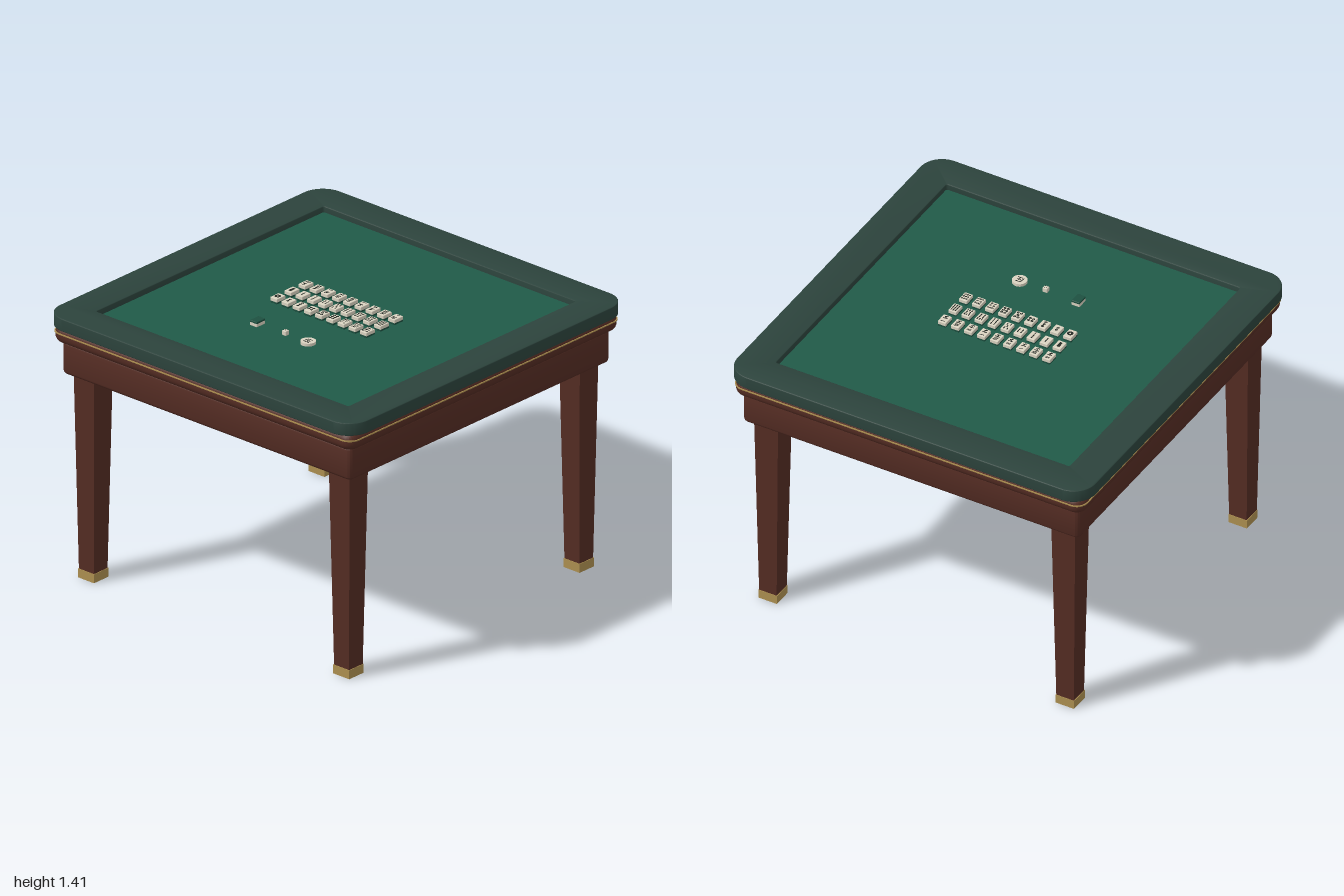
import * as THREE from 'three';
import { mergeGeometries, toCreasedNormals } from 'three/addons/utils/BufferGeometryUtils.js';
import { RoundedBoxGeometry } from 'three/addons/geometries/RoundedBoxGeometry.js';

const material = (name, color) => {
  const m = new THREE.MeshStandardMaterial({ color });
  m.name = name;
  return m;
};

// Square outline with rounded corners
function roundedSquare(half, r, Kind = THREE.Shape) {
  const s = new Kind(), c = half - r;
  s.absarc(c, c, r, 0, Math.PI / 2);
  s.absarc(-c, c, r, Math.PI / 2, Math.PI);
  s.absarc(-c, -c, r, Math.PI, Math.PI * 1.5);
  s.absarc(c, -c, r, Math.PI * 1.5, Math.PI * 2);
  s.closePath();
  return s;
}

// Horizontal slab from y0 to y1 with softened edges and an optional square opening
function slab(half, r, y0, y1, bevel, opening) {
  const shape = roundedSquare(half, r);
  if (opening) shape.holes.push(roundedSquare(opening, 0.01, THREE.Path));
  const g = new THREE.ExtrudeGeometry(shape, {
    depth: y1 - y0 - 2 * bevel, curveSegments: 10, bevelEnabled: bevel > 0,
    bevelThickness: bevel, bevelSize: bevel, bevelOffset: -bevel, bevelSegments: 6,
  });
  g.rotateX(-Math.PI / 2).translate(0, y0 + bevel, 0);
  return toCreasedNormals(g, 0.6);
}

// Square tapered post
function post(bottomHalf, topHalf, y0, y1) {
  const k = Math.SQRT2;
  const g = new THREE.CylinderGeometry(topHalf * k, bottomHalf * k, y1 - y0, 4);
  return toCreasedNormals(g.rotateY(Math.PI / 4).translate(0, (y0 + y1) / 2, 0), 0.6);
}

export function createModel() {
  const model = new THREE.Group();
  model.name = 'gameTable';
  const wood = material('dark red wood', 0x542c23);
  const brass = material('brass', 0xac8f50);
  const rimGreen = material('rim green', 0x2c433c);
  const felt = material('felt green', 0x205a48);
  const ivory = material('ivory', 0xd9d2c0);
  const backGreen = material('tile back green', 0x1d5040);
  const ink = material('ink', 0x232823);

  const add = (parent, name, geometry, mat, x = 0, y = 0, z = 0) => {
    const mesh = new THREE.Mesh(geometry, mat);
    mesh.name = name;
    mesh.position.set(x, y, z);
    parent.add(mesh);
    return mesh;
  };

  // Table body
  const feltY = 1.38;
  add(model, 'apron', slab(0.94, 0.03, 1.085, 1.262, 0.022), wood);
  add(model, 'moulding', slab(0.977, 0.06, 1.255, 1.348, 0.042), wood);
  add(model, 'brassTrim', slab(0.98, 0.06, 1.311, 1.317, 0), brass);
  add(model, 'rim', slab(1, 0.12, 1.345, 1.412, 0.005, 0.82), rimGreen);
  add(model, 'playingSurface', slab(0.822, 0.01, 1.335, feltY, 0), felt);

  // Legs with brass feet
  const legGeometry = post(0.049, 0.067, 0.045, 1.1);
  const footGeometry = post(0.052, 0.052, 0, 0.047);
  for (const x of [-0.83, 0.83]) for (const z of [-0.83, 0.83]) {
    const leg = new THREE.Group();
    leg.name = 'leg';
    leg.position.set(x, 0, z);
    add(leg, 'legPost', legGeometry, wood);
    add(leg, 'brassFoot', footGeometry, brass);
    model.add(leg);
  }

  // Flat ink marks, gathered into one mesh
  const marks = [];
  const bar = (x, y, z, w, d, turn = 0) =>
    marks.push(new THREE.BoxGeometry(w, 0.001, d).rotateY(turn).translate(x, y, z));
  const ring = (x, y, z, inner, outer) =>
    marks.push(new THREE.RingGeometry(inner, outer, 12).rotateX(-Math.PI / 2).translate(x, y + 0.0006, z));

  // Positions of n symbols on a tile face, in rows of up to three
  const layout = (n) => {
    const rows = n < 4 ? Array(n).fill(1) : n === 4 ? [2, 2] : n === 5 ? [2, 1, 2]
      : n === 6 ? [2, 2, 2] : n === 7 ? [3, 2, 2] : n === 8 ? [3, 2, 3] : [3, 3, 3];
    return rows.flatMap((count, r) => Array.from({ length: count }, (_, i) => [
      (i - (count - 1) / 2) * (count === 3 ? 0.012 : 0.018),
      (r - (rows.length - 1) / 2) * 0.017,
    ]));
  };

  // Tiles: ivory faces on green backs
  const backGeometry = new RoundedBoxGeometry(0.045, 0.012, 0.062, 2, 0.003);
  const bodyGeometry = new RoundedBoxGeometry(0.045, 0.02, 0.062, 2, 0.003);
  const tile = (name, x, z, faceUp) => {
    const g = new THREE.Group();
    g.name = name;
    g.position.set(x, feltY, z);
    add(g, 'tileBack', backGeometry, backGreen, 0, faceUp ? 0.006 : 0.022, 0);
    add(g, 'tileBody', bodyGeometry, ivory, 0, faceUp ? 0.018 : 0.01, 0);
    model.add(g);
  };
  const top = feltY + 0.0283;
  [-0.106, -0.005, 0.097].forEach((z, suit) => {
    for (let n = 1; n <= 9; n++) {
      const x = (n - 5) * 0.0728;
      tile('tile', x, z, true);
      if (suit === 0) {
        // Abstract brush strokes
        for (let i = 0; i < 1 + (n % 3); i++) bar(x, top, z - 0.02 + i * 0.007, 0.022, 0.003, 0.15);
        bar(x, top, z + 0.005, 0.026, 0.004);
        bar(x, top, z + 0.013, 0.004, 0.022);
        bar(x, top, z + 0.019, 0.02, 0.004, 0.35);
      } else if (suit === 1) {
        // Sticks
        for (const [dx, dz] of layout(n)) bar(x + dx, top, z + dz, n === 1 ? 0.015 : 0.005, n === 1 ? 0.036 : 0.014);
      } else {
        // Dots
        for (const [dx, dz] of layout(n)) {
          if (n === 1) ring(x, top, z, 0.005, 0.016);
          else ring(x + dx, top, z + dz, 0.002, n > 6 ? 0.0055 : 0.0075);
        }
      }
    }
  });
  tile('faceDownTile', -0.185, 0.36, false);

  // Die
  add(model, 'die', new RoundedBoxGeometry(0.026, 0.026, 0.026, 2, 0.004), ivory, -0.003, feltY + 0.013, 0.36);
  for (const dx of [-0.006, 0.006]) for (const dz of [-0.006, 0.006])
    ring(-0.003 + dx, feltY + 0.026, 0.36 + dz, 0, 0.0022);

  // Round dealer marker with an abstract stroke mark
  const discY = feltY + 0.0155;
  add(model, 'dealerDisc', new THREE.CylinderGeometry(0.038, 0.038, 0.015, 32), ivory, 0.144, feltY + 0.0075, 0.36);
  bar(0.146, discY, 0.345, 0.028, 0.004);
  bar(0.131, discY, 0.36, 0.004, 0.032, -0.2);
  bar(0.148, discY, 0.361, 0.02, 0.004);
  bar(0.148, discY, 0.365, 0.004, 0.022);
  bar(0.149, discY, 0.376, 0.028, 0.004);

  add(model, 'inkMarks', mergeGeometries(marks), ink);
  return model;
}
